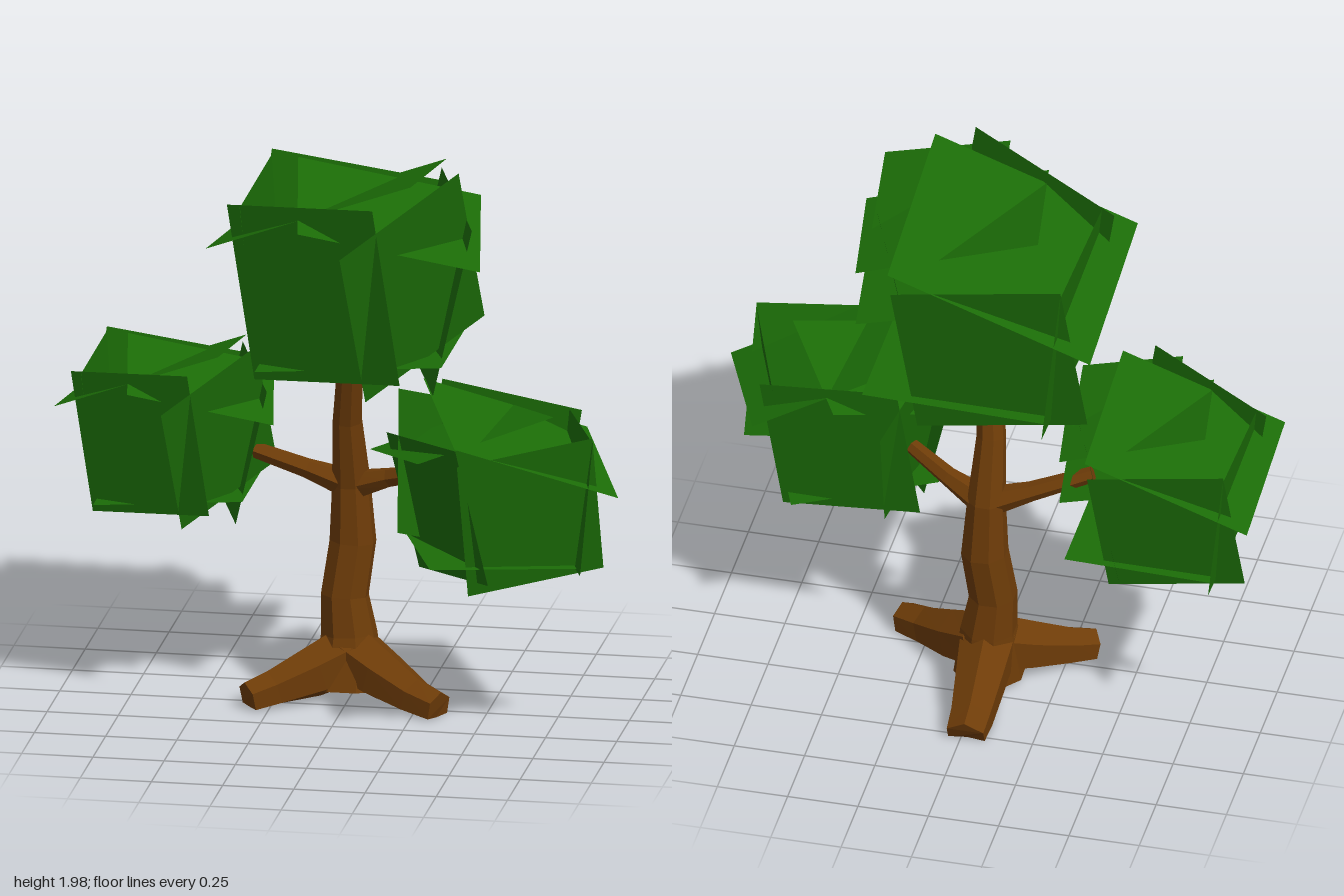
import * as THREE from 'three';

const bark = new THREE.MeshStandardMaterial({ color: 0x6e3c08, flatShading: true });
const leaf = new THREE.MeshStandardMaterial({ color: 0x1b6c07, flatShading: true, side: THREE.DoubleSide });

// Faceted limb through [x, y, z, radius] stations, capped at both ends
function limb(name, stations, sides = 7, twist = 0) {
  const pts = stations.map(s => new THREE.Vector3(s[0], s[1], s[2]));
  const pos = [], index = [];
  pts.forEach((p, i) => {
    const t = pts[Math.min(i + 1, pts.length - 1)].clone().sub(pts[Math.max(i - 1, 0)]).normalize();
    const ref = Math.abs(t.y) > 0.8 ? new THREE.Vector3(0, 0, 1) : new THREE.Vector3(0, 1, 0);
    const u = ref.clone().cross(t).normalize();
    const v = t.clone().cross(u);
    for (let k = 0; k < sides; k++) {
      const a = twist + k / sides * Math.PI * 2;
      const q = p.clone().addScaledVector(u, Math.cos(a) * stations[i][3]).addScaledVector(v, Math.sin(a) * stations[i][3]);
      pos.push(q.x, Math.max(0, q.y), q.z);
    }
  });
  for (let i = 0; i < pts.length - 1; i++) {
    for (let k = 0; k < sides; k++) {
      const a = i * sides + k, b = i * sides + (k + 1) % sides;
      index.push(a, b, b + sides, a, b + sides, a + sides);
    }
  }
  const end = (pts.length - 1) * sides;
  for (let k = 1; k < sides - 1; k++) index.push(0, k + 1, k, end, end + k, end + k + 1);
  const geo = new THREE.BufferGeometry();
  geo.setAttribute('position', new THREE.Float32BufferAttribute(pos, 3));
  geo.setIndex(index);
  const flat = geo.toNonIndexed();
  flat.computeVertexNormals();
  const mesh = new THREE.Mesh(flat, bark);
  mesh.name = name;
  return mesh;
}

// Leaf sheets of one clump: three corners each, the fourth completes the parallelogram
const sheets = {
  topSheet: [[0.28, 1.97, 0.27], [0.28, 1.86, -0.44], [-0.44, 1.6, -0.44]],
  topCrossSheet: [[-0.2, 1.91, -0.21], [0.42, 1.77, -0.33], [0.52, 1.67, 0.25]],
  diagonalSheet: [[0.08, 1.78, 0.55], [0.42, 1.98, 0.11], [0.47, 1.4, -0.12]],
  leftSheet: [[0.47, 1.78, 0.13], [0.27, 1.84, -0.4], [0.13, 1.23, -0.42]],
  frontSheet: [[-0.39, 1.83, 0.13], [0.17, 1.92, 0.41], [0.27, 1.3, 0.43]],
  rightSheet: [[-0.33, 1.85, -0.43], [-0.34, 1.83, 0.16], [-0.28, 1.24, 0.14]],
  backSheet: [[0.27, 1.78, -0.44], [-0.33, 1.87, -0.42], [-0.4, 1.25, -0.31]],
  bottomSheet: [[-0.27, 1.27, 0.26], [0.38, 1.31, 0.23], [0.38, 1.31, -0.4]],
};

function clump(name, scale, offset, turn = 0) {
  const group = new THREE.Group();
  group.name = name;
  for (const [part, [a, b, c]] of Object.entries(sheets)) {
    const d = a.map((n, i) => n + c[i] - b[i]);
    const geo = new THREE.BufferGeometry();
    geo.setAttribute('position', new THREE.Float32BufferAttribute([a, d, c, a, c, b].flat(), 3));
    geo.computeVertexNormals();
    const mesh = new THREE.Mesh(geo, leaf);
    mesh.name = part;
    group.add(mesh);
  }
  group.scale.setScalar(scale);
  group.rotation.y = turn;
  group.position.set(...offset);
  return group;
}

export function createModel() {
  const tree = new THREE.Group();
  tree.name = 'tree';

  // Bent trunk
  tree.add(limb('trunk', [
    [-0.01, 0.03, -0.12, 0.13], [-0.01, 0.22, -0.145, 0.1], [-0.025, 0.36, -0.145, 0.085],
    [0, 0.55, -0.165, 0.083], [-0.005, 0.76, -0.16, 0.068], [-0.01, 1.0, -0.11, 0.052],
    [0.01, 1.22, -0.05, 0.045], [0.02, 1.3, -0.03, 0.04],
  ], 8, Math.PI / 8));

  // Two forward-splayed roots and one back root
  for (const s of [-1, 1]) {
    tree.add(limb(s < 0 ? 'rightRoot' : 'leftRoot', [
      [0, 0.15, -0.14, 0.11], [s * 0.12, 0.1, -0.06, 0.095],
      [s * 0.25, 0.055, 0.03, 0.07], [s * 0.335 + 0.01, 0.035, 0.085, 0.06],
    ], 6, Math.PI / 6));
  }
  tree.add(limb('backRoot', [
    [-0.01, 0.15, -0.14, 0.11], [-0.015, 0.09, -0.29, 0.095],
    [-0.02, 0.035, -0.44, 0.08], [-0.02, 0.01, -0.53, 0.075],
  ], 6, Math.PI / 6));

  // Side branches
  tree.add(limb('rightBranch', [[0, 0.75, -0.16, 0.055], [-0.16, 0.81, -0.14, 0.035], [-0.37, 0.89, -0.1, 0.028]], 6));
  tree.add(limb('leftBranch', [[0, 0.75, -0.16, 0.055], [0.14, 0.8, -0.11, 0.035], [0.29, 0.85, -0.03, 0.028]], 6));

  // Leaf clumps
  tree.add(clump('topLeaves', 1, [0, 0, 0]));
  tree.add(clump('rightLeaves', 0.8, [-0.648, -0.304, -0.098]));
  tree.add(clump('leftLeaves', 0.8, [0.56, -0.384, 0.1], -159 * Math.PI / 180));
  return tree;
}
